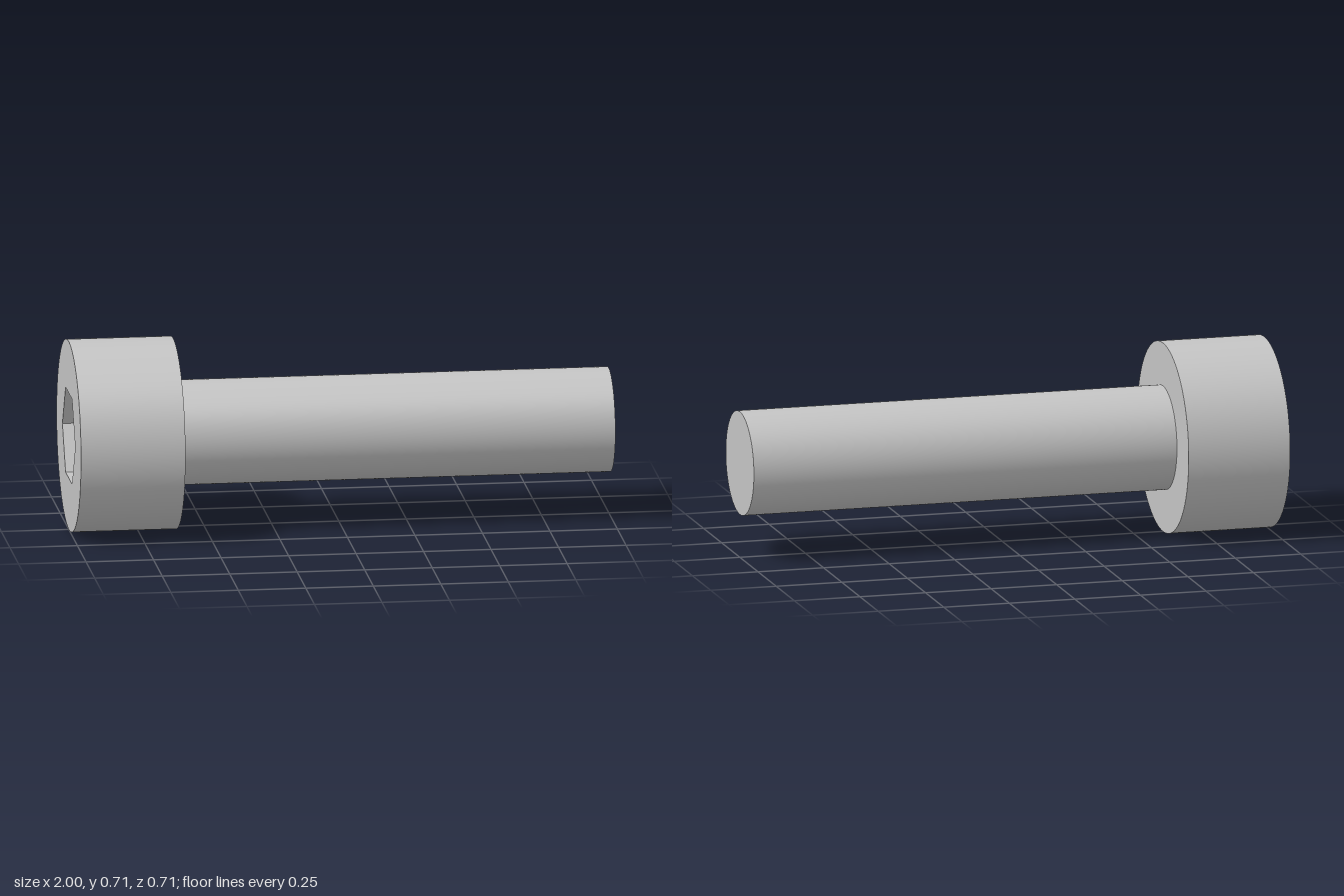
import * as THREE from 'three';

const HEAD_R = 0.355, SHAFT_R = 0.1935, SOCKET_R = 0.186;
const HEAD_END = -0.613, SOCKET_DEPTH = 0.2, SEGMENTS = 128;

export function createModel() {
  const steel = new THREE.MeshStandardMaterial({ color: 0xc4c4c4 });
  steel.name = 'steel grey';

  // The bolt is built along local z, then turned so its axis lies on x.
  const bolt = new THREE.Group();
  bolt.name = 'socketHeadBolt';
  bolt.position.y = HEAD_R;
  bolt.rotation.y = Math.PI / 2;

  const add = (name, geometry, z) => {
    const mesh = new THREE.Mesh(geometry, steel);
    mesh.name = name;
    mesh.position.z = z;
    bolt.add(mesh);
  };
  const tube = (r, length, sides = SEGMENTS) =>
    new THREE.CylinderGeometry(r, r, length, sides, 1, true, Math.PI / 2).rotateX(Math.PI / 2);

  // Head: round side, front face with a hexagonal opening, underside ring
  add('headSide', tube(HEAD_R, HEAD_END + 1), (HEAD_END - 1) / 2);
  const face = new THREE.Shape().absarc(0, 0, HEAD_R, 0, Math.PI * 2);
  const corners = [];
  for (let i = 0; i < 6; i++) {
    const a = i * Math.PI / 3;
    corners.push(new THREE.Vector2(SOCKET_R * Math.cos(a), SOCKET_R * Math.sin(a)));
  }
  face.holes.push(new THREE.Path(corners));
  add('headFace', new THREE.ShapeGeometry(face, SEGMENTS).rotateY(Math.PI), -1);
  add('headUnderside', new THREE.RingGeometry(SHAFT_R, HEAD_R, SEGMENTS), HEAD_END);

  // Hex socket: the negative length turns the walls inward
  const walls = tube(SOCKET_R, -SOCKET_DEPTH, 6).toNonIndexed();
  walls.computeVertexNormals();
  add('socketWalls', walls, -1 + SOCKET_DEPTH / 2);
  add('socketFloor', new THREE.CircleGeometry(SOCKET_R, 6).rotateY(Math.PI), -1 + SOCKET_DEPTH);

  // Plain shaft and its flat tip
  add('shaft', tube(SHAFT_R, 1 - HEAD_END), (1 + HEAD_END) / 2);
  add('shaftTip', new THREE.CircleGeometry(SHAFT_R, SEGMENTS), 1);

  const model = new THREE.Group();
  model.name = 'bolt';
  model.add(bolt);
  return model;
}
